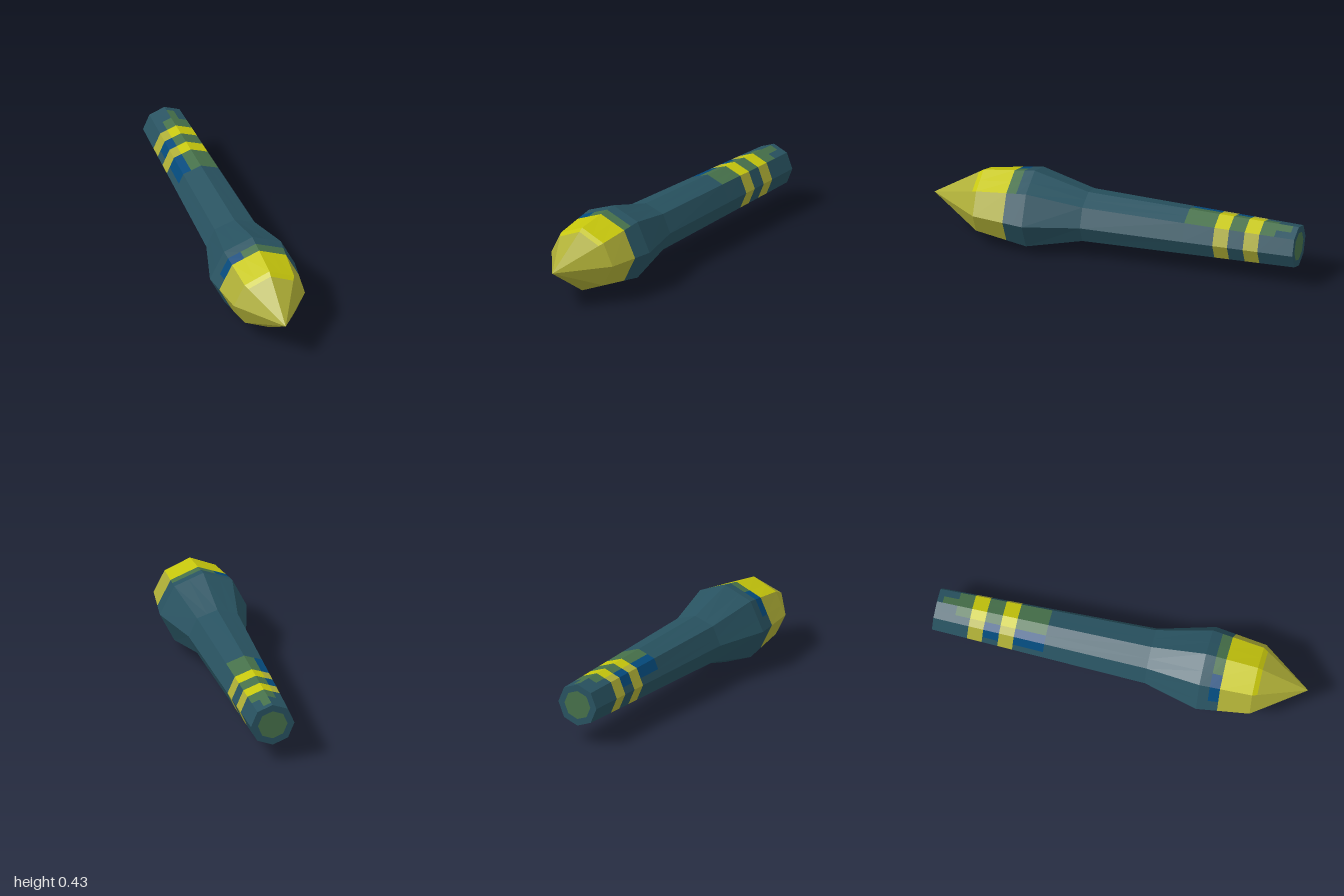
import * as THREE from 'three';

const mat = (name, color) => {
  const m = new THREE.MeshStandardMaterial({ color });
  m.name = name;
  return m;
};

// Octagonal cross-sections: z, half width, half height, diagonal corner x and y
const STATIONS = [
  [1.0, 0, 0, 0, 0],
  [0.73, 0.197, 0.176, 0.137, 0.118],
  [0.45, 0.235, 0.215, 0.157, 0.156],
  [0.155, 0.156, 0.136, 0.11, 0.1],
  [-1.0, 0.118, 0.115, 0.083, 0.083],
];
const CENTER_Y = 0.216;

// Lengthwise cuts: the stations plus the borders of the painted areas
const CUTS = [1, 0.755, 0.73, 0.56, 0.505, 0.45, 0.155, -0.4, -0.565, -0.645, -0.73, -0.81, -0.89, -0.97, -1];

// Columns around the body: side index, start and end along that side
const COLUMNS = [
  [0, 0, 1], [1, 0, 0.5], [1, 0.5, 1], [2, 0, 0.55], [2, 0.55, 1],
  [3, 0, 0.6], [3, 0.6, 1], [4, 0, 1], [5, 0, 1], [6, 0, 1], [7, 0, 1],
];

// The eight corners of the cross-section at a given z
function ring(z) {
  let i = 0;
  while (i < STATIONS.length - 2 && z < STATIONS[i + 1][0]) i++;
  const a = STATIONS[i], b = STATIONS[i + 1];
  const t = (a[0] - z) / (a[0] - b[0]);
  const [, rx, ry, dx, dy] = a.map((v, k) => v + (b[k] - v) * t);
  return [[rx, 0], [dx, dy], [0, ry], [-dx, dy], [-rx, 0], [-dx, -dy], [0, -ry], [dx, -dy]]
    .map(([x, y]) => new THREE.Vector3(x, y + CENTER_Y, z));
}

// Which painted part a cell belongs to
function partAt(z, col) {
  const [side, t0] = COLUMNS[col];
  const top = side === 1 || side === 2;
  const bottom = side === 5 || side === 6;
  const blueStrip = col === 4 || col === 5;
  if (z > 0.56) return top && z < 0.755 ? 'noseHighlight' : 'nose';
  if (z > 0.505) return blueStrip ? 'bluePatch' : top ? 'greenPatch' : 'body';
  if (z > -0.4) return 'body';
  const band = (z < -0.565 && z > -0.645) || (z < -0.73 && z > -0.81);
  if (band) return bottom ? 'body' : top && col !== 4 ? 'bandHighlight' : 'bands';
  if (z > -0.73) return blueStrip ? 'bluePatch' : top ? 'greenPatch' : 'body';
  if (z > -0.89) return top && col !== 4 ? 'greenPatch' : 'body';
  if (z > -0.97) return side === 1 && t0 === 0.5 ? 'greenPatch' : 'body';
  return 'body';
}

export function createModel() {
  const teal = mat('dark teal', 0x285260);
  const olive = mat('olive yellow', 0xaeae36);
  const yellow = mat('bright yellow', 0xc6c60c);
  const green = mat('moss green', 0x46704a);
  const blue = mat('deep blue', 0x044a7c);
  const materials = {
    body: teal, nose: olive, noseHighlight: yellow, bands: olive,
    bandHighlight: yellow, greenPatch: green, bluePatch: blue, tailPatch: green,
  };

  const parts = {};
  const tri = (part, ...pts) => {
    const list = (parts[part] ??= []);
    pts.forEach((p) => list.push(p.x, p.y, p.z));
  };
  const quad = (part, a, b, c, d) => {
    tri(part, a, b, c);
    if (a.distanceTo(d) > 1e-6) tri(part, a, c, d);
  };

  // Faceted skin, cell by cell
  for (let r = 0; r < CUTS.length - 1; r++) {
    const front = ring(CUTS[r]), back = ring(CUTS[r + 1]);
    const mid = (CUTS[r] + CUTS[r + 1]) / 2;
    COLUMNS.forEach(([s, t0, t1], col) => {
      const on = (pts, t) => pts[s].clone().lerp(pts[(s + 1) % 8], t);
      quad(partAt(mid, col), on(front, t0), on(back, t0), on(back, t1), on(front, t1));
    });
  }

  // Flat tail end with a central patch
  const center = new THREE.Vector3(0, CENTER_Y, -1);
  const rim = ring(-1);
  const inner = rim.map((p) => p.clone().lerp(center, 0.32));
  for (let i = 0; i < 8; i++) {
    const j = (i + 1) % 8;
    quad('body', rim[j], rim[i], inner[i], inner[j]);
    tri('tailPatch', center, inner[j], inner[i]);
  }

  const group = new THREE.Group();
  group.name = 'facetedDart';
  for (const [name, positions] of Object.entries(parts)) {
    const geometry = new THREE.BufferGeometry();
    geometry.setAttribute('position', new THREE.Float32BufferAttribute(positions, 3));
    geometry.computeVertexNormals();
    const mesh = new THREE.Mesh(geometry, materials[name]);
    mesh.name = name;
    group.add(mesh);
  }
  return group;
}
